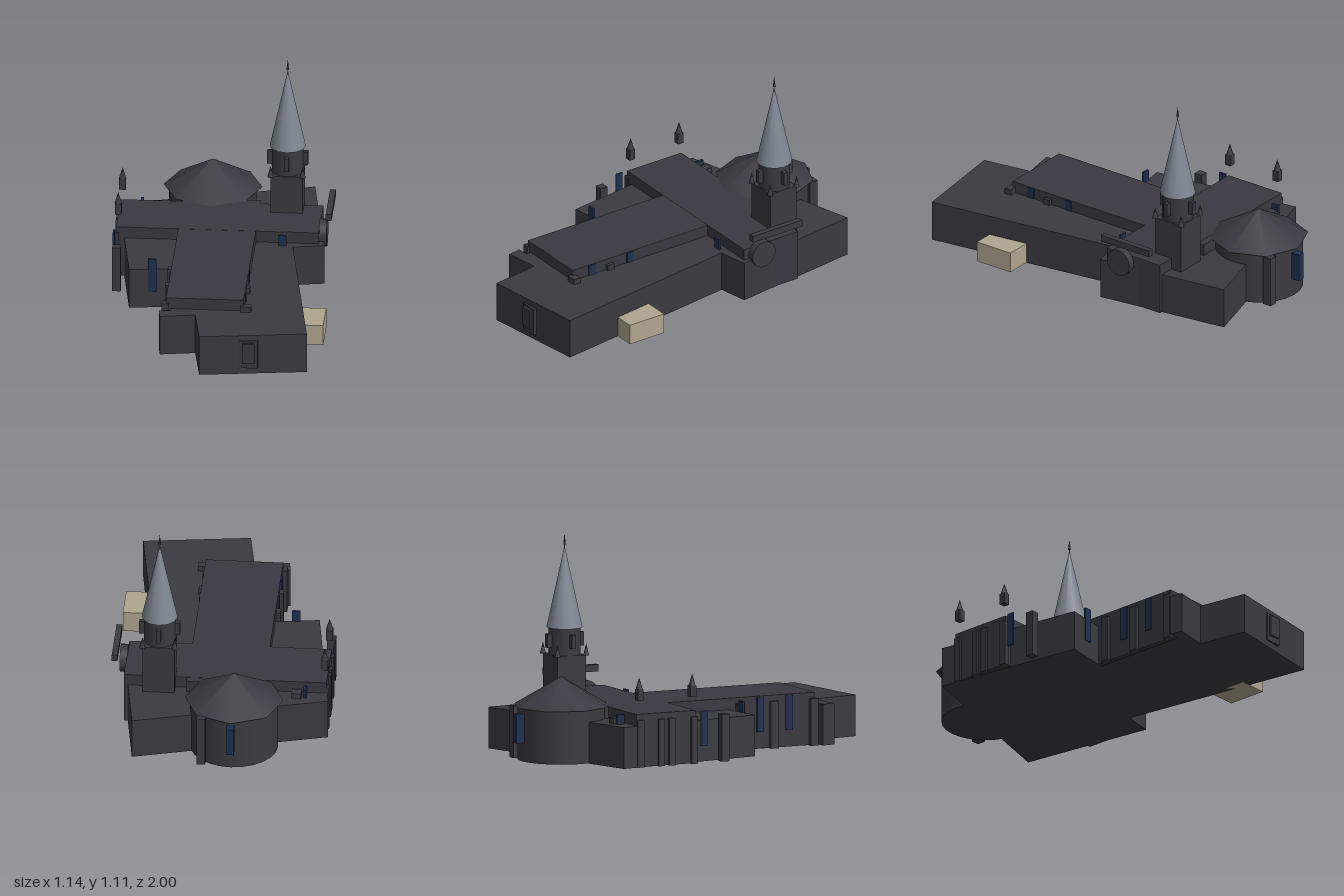
import * as THREE from 'three';

export function createModel() {
  const model = new THREE.Group();
  model.name = 'church';
  const mat = (name, color) => {
    const m = new THREE.MeshStandardMaterial({ color });
    m.name = name;
    return m;
  };
  const stone = mat('dark stone', 0x3a3a40);
  const roof = mat('dark roof', 0x3a3841);
  const slate = mat('spire slate', 0x808894);
  const glass = mat('blue glass', 0x1f2f50);
  const porchStone = mat('pale porch stone', 0xb0a68f);

  const add = (name, geo, material, x = 0, y = 0, z = 0, parent = model) => {
    const mesh = new THREE.Mesh(geo, material);
    mesh.name = name;
    mesh.position.set(x, y, z);
    parent.add(mesh);
    return mesh;
  };
  // Box given by its two extremes on each axis
  const box = (name, material, [x0, x1], [y0, y1], [z0, z1], parent) =>
    add(name, new THREE.BoxGeometry(x1 - x0, y1 - y0, z1 - z0), material,
      (x0 + x1) / 2, (y0 + y1) / 2, (z0 + z1) / 2, parent);
  const cone = (name, material, r, y0, y1, sides, x, z, parent) =>
    add(name, new THREE.ConeGeometry(r, y1 - y0, sides), material, x, (y0 + y1) / 2, z, parent);

  // Lower building, slightly turned against the nave
  const outline = [[0.42, -0.89], [-0.57, -0.61], [-0.46, 0.2], [-0.21, 0.165], [-0.21, 0.685],
    [-0.27, 0.69], [-0.26, 0.76], [-0.08, 0.73], [-0.04, 0.995], [0.51, 0.92], [0.36, -0.14], [0.52, -0.17]];
  const base = new THREE.ExtrudeGeometry(
    new THREE.Shape(outline.map(([x, z]) => new THREE.Vector2(x, -z))),
    { depth: 0.215, bevelEnabled: false });
  base.rotateX(-Math.PI / 2);
  add('lowerBuilding', base, stone);

  // Nave and transept
  box('nave', roof, [-0.235, 0.165], [0.002, 0.275], [-0.57, 0.66]);
  box('transept', roof, [-0.555, 0.49], [0.002, 0.276], [-0.53, -0.19]);

  // Apse with its eight-sided roof
  add('apseWall', new THREE.CylinderGeometry(0.227, 0.227, 0.276, 24), stone, -0.095, 0.14, -0.73);
  cone('apseRoof', roof, 0.255, 0.278, 0.43, 8, -0.095, -0.73);
  box('apseWindow', glass, [-0.115, -0.075], [0.1, 0.25], [-1, -0.94]);
  box('apseButtress', stone, [0.038, 0.083], [0, 0.27], [-0.938, -0.89]);

  // Tower: shaft, belfry, openings, corner pinnacles and spire
  const tower = new THREE.Group();
  tower.name = 'tower';
  tower.position.set(0.307, 0, -0.508);
  model.add(tower);
  box('towerShaft', stone, [-0.083, 0.083], [0.1, 0.48], [-0.083, 0.083], tower);
  add('belfry', new THREE.CylinderGeometry(0.082, 0.082, 0.14, 12), stone, 0, 0.55, 0, tower);
  for (let i = 0; i < 4; i++) {
    const a = i * Math.PI / 2;
    const opening = add('belfryOpening', new THREE.BoxGeometry(0.024, 0.072, 0.035), stone,
      Math.sin(a) * 0.088, 0.555, Math.cos(a) * 0.088, tower);
    opening.rotation.y = a;
    const c = a + Math.PI / 4;
    cone('cornerPinnacle', stone, 0.016, 0.478, 0.54, 8,
      Math.sin(c) * 0.117, Math.cos(c) * 0.117, tower);
  }
  cone('spire', slate, 0.093, 0.62, 1.045, 12, 0, 0, tower);
  cone('finial', stone, 0.007, 1.05, 1.108, 8, 0, 0, tower);
  cone('finialTip', stone, 0.004, 1.02, 1.07, 6, 0, 0, tower);

  // Front door: frame and leaf, on the turned front wall
  box('doorFrame', stone, [0.165, 0.26], [0.035, 0.185], [0.93, 0.973]);
  box('doorLeaf', stone, [0.18, 0.245], [0.065, 0.175], [0.95, 0.985]);

  // Side porch
  box('sidePorch', porchStone, [0.415, 0.57], [0, 0.11], [0.37, 0.585]);

  // Round window and the bar above it on the transept end
  const round = add('roundWindow', new THREE.CylinderGeometry(0.072, 0.072, 0.04, 24), stone, 0.507, 0.233, -0.29);
  round.rotation.z = Math.PI / 2;
  box('transeptBar', stone, [0.525, 0.555], [0.342, 0.378], [-0.51, -0.2]);

  // Raised pinnacles over the opposite transept end
  for (const z of [-0.205, -0.51]) {
    box('pinnacleBase', stone, [-0.562, -0.528], [0.347, 0.405], [z - 0.017, z + 0.017]);
    cone('pinnacleTop', stone, 0.019, 0.405, 0.467, 8, -0.545, z);
  }

  // Nave windows and buttresses
  for (const z of [0.3, 0.54]) box('naveWindow', glass, [0.16, 0.17], [0.1, 0.272], [z - 0.02, z + 0.02]);
  for (const z of [0.345, 0.51]) box('naveWindow', glass, [-0.242, -0.23], [0.09, 0.27], [z - 0.02, z + 0.02]);
  for (const z of [0.43, 0.66]) {
    const w = z > 0.6 ? 0.205 : 0.182;
    box('naveButtress', stone, [0.15, w], [0, 0.245], [z - 0.02, z + 0.02]);
  }
  for (const z of [0.225, 0.42, 0.65])
    box('naveButtress', stone, [-0.257, -0.22], [0, 0.245], [z - 0.022, z + 0.022]);

  // Transept windows and buttresses
  box('frontWindow', glass, [0.285, 0.327], [0.09, 0.274], [-0.16, -0.148]);
  box('frontWindow', glass, [-0.362, -0.32], [0.09, 0.274], [0.178, 0.19]);
  box('backWindow', glass, [-0.455, -0.44], [0.09, 0.265], [-0.59, -0.55]);
  box('backButtress', stone, [-0.43, -0.38], [0, 0.245], [-0.6, -0.55]);
  box('sideButtress', stone, [-0.562, -0.518], [0, 0.245], [-0.042, 0.002]);
  box('sideWindow', glass, [-0.568, -0.56], [0.09, 0.272], [-0.165, -0.125]);
  for (const z of [-0.51, -0.39, -0.33, -0.2])
    box('endButtress', stone, [-0.568, -0.54], [0, 0.245], [z - 0.018, z + 0.018]);

  return model;
}
